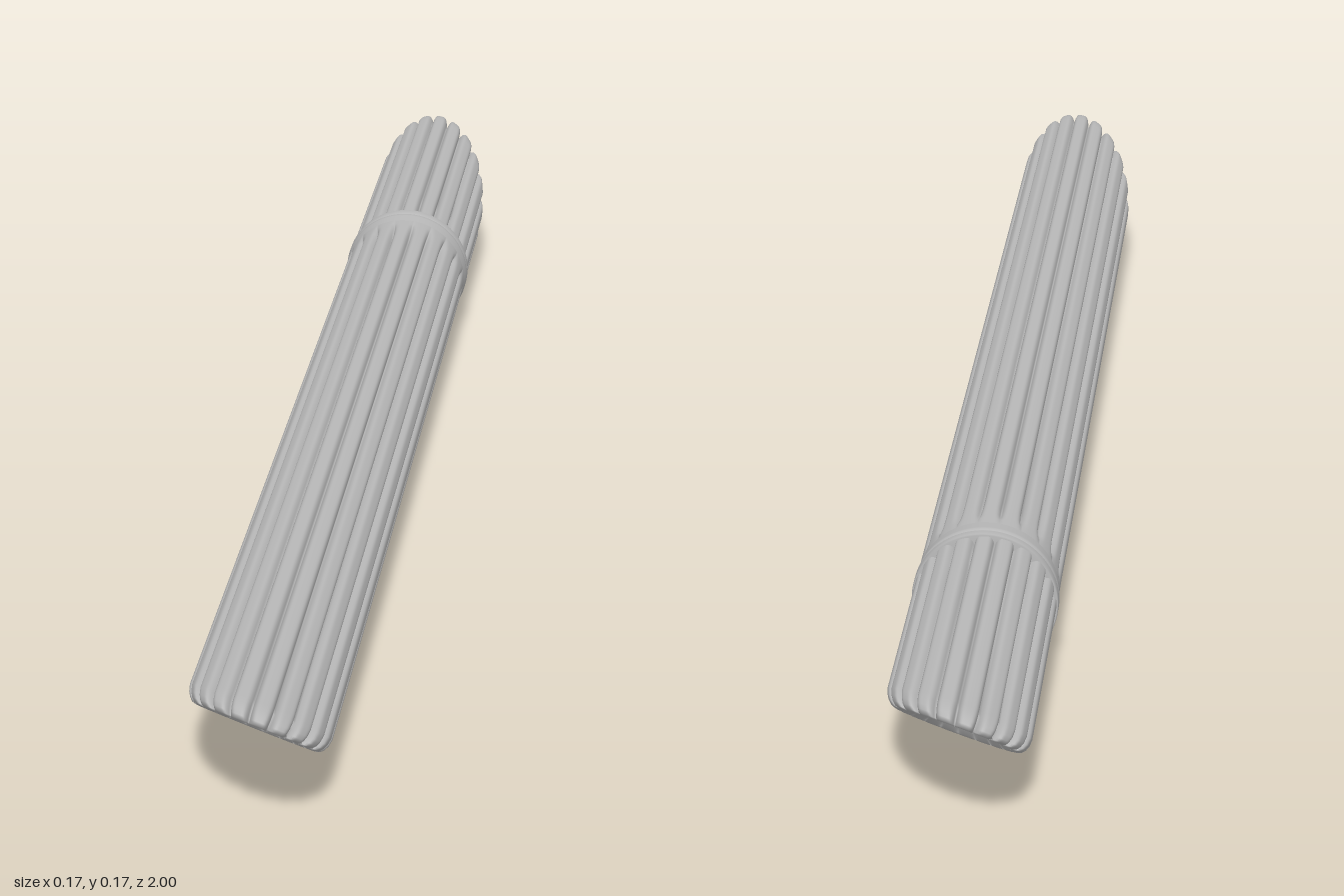
import * as THREE from 'three';

const RIBS = 20, SEG = RIBS * 16, R = 0.084, CY = 0.086;
const TILT = 0.36; // twist of the slanted cuts about the long axis

// Loft closed rings from front to back; each station is [radius, groove depth, z(x, y)]
function loft(stations) {
  const pos = [], index = [];
  for (const [radius, depth, z] of stations) {
    for (let i = 0; i < SEG; i++) {
      const a = (i / SEG) * Math.PI * 2;
      // broad ribs parted by narrow grooves
      const groove = Math.pow(1 - Math.abs(Math.cos((a * RIBS) / 2)), 2.5);
      const r = radius - depth * groove;
      const x = r * Math.sin(a), y = r * Math.cos(a);
      pos.push(x, y + CY, z(x, y));
    }
  }
  for (let j = 0; j < stations.length - 1; j++) {
    for (let i = 0; i < SEG; i++) {
      const a = j * SEG + i, b = j * SEG + ((i + 1) % SEG);
      index.push(a, b, a + SEG, b, b + SEG, a + SEG);
    }
  }
  const g = new THREE.BufferGeometry();
  g.setAttribute('position', new THREE.Float32BufferAttribute(pos, 3));
  g.setIndex(index);
  g.computeVertexNormals();
  return g;
}

// Slanted, dished end from its centre over a rounded rim to the ribbed side
function slantedEnd(side) {
  const cut = (x, y) => 0.868 + (0.147 / R) * (y * Math.cos(TILT) + side * x * Math.sin(TILT));
  return [
    [0.0005, 0, -0.03], [0.025, 0, -0.028], [0.045, 0, -0.021], [0.056, 0, -0.011],
    [0.064, 0.001, -0.001], [0.07, 0.005, 0.002], [0.075, 0.009, -0.001],
    [0.079, 0.011, -0.009], [0.082, 0.011, -0.02], [R, 0.011, -0.036], [R, 0.011, -0.05]
  ].map(([r, d, off]) => [r, d, (x, y) => side * (cut(x, y) + off)]);
}

const ring = (r, d, z) => [r, d, () => z];

export function createModel() {
  const group = new THREE.Group();
  const grey = new THREE.MeshStandardMaterial({ color: 0xb8b8b8 });
  grey.name = 'grey';
  const add = (name, stations) => {
    const mesh = new THREE.Mesh(loft(stations), grey);
    mesh.name = name;
    group.add(mesh);
  };

  // Long ribbed barrel, its ribs fading out under the collar
  add('ribbedBarrel', [
    ...slantedEnd(1),
    ring(R, 0.011, 0.6), ring(R, 0.011, 0), ring(R, 0.011, -0.44),
    ring(R, 0.01, -0.465), ring(R, 0.006, -0.485), ring(R, 0.001, -0.5), ring(R, 0, -0.515)
  ]);

  // Smooth collar with a fine groove and a stepped back edge
  add('collar', [
    ring(R, 0, -0.512), ring(0.0855, 0, -0.528), ring(0.086, 0, -0.533),
    ring(0.0845, 0, -0.535), ring(0.0845, 0, -0.537), ring(0.086, 0, -0.539),
    ring(0.086, 0, -0.549), ring(0.085, 0, -0.551), ring(0.07, 0, -0.551)
  ]);

  // Short ribbed rear section
  add('ribbedRearSection', [
    ring(R, 0.011, -0.548), ring(R, 0.011, -0.6), ring(R, 0.011, -0.64),
    ...slantedEnd(-1).reverse()
  ]);

  return group;
}
